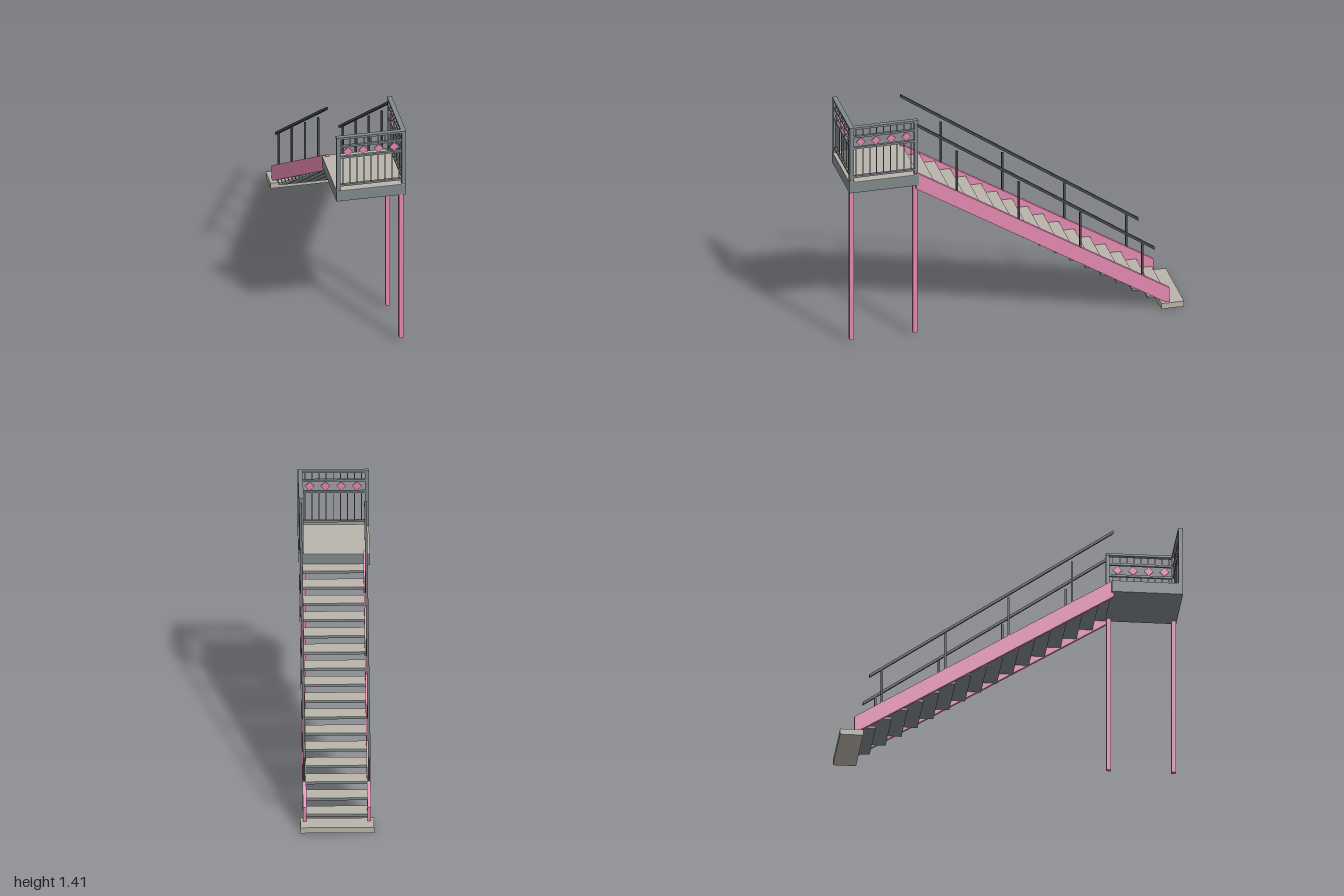
import * as THREE from 'three';

const mat = (name, color) => {
  const m = new THREE.MeshStandardMaterial({ color });
  m.name = name;
  return m;
};

export function createModel() {
  const model = new THREE.Group();
  model.name = 'staircase';
  const pink = mat('pink paint', 0xe58ab2);
  const grey = mat('grey steel', 0x80898c);
  const dark = mat('dark steel', 0x484c4d);
  const stone = mat('stone', 0xbab5ab);

  // box from its min and max corners
  const box = (parent, name, m, x0, x1, y0, y1, z0, z1) => {
    const mesh = new THREE.Mesh(new THREE.BoxGeometry(x1 - x0, y1 - y0, z1 - z0), m);
    mesh.position.set((x0 + x1) / 2, (y0 + y1) / 2, (z0 + z1) / 2);
    mesh.name = name;
    parent.add(mesh);
  };

  // plate with a (z, y) side outline, centred on x
  const sidePlate = (name, m, points, x, width) => {
    const shape = new THREE.Shape(points.map(([z, y]) => new THREE.Vector2(z, y)));
    const geo = new THREE.ExtrudeGeometry(shape, { depth: width, bevelEnabled: false });
    geo.translate(0, 0, -width / 2).rotateY(-Math.PI / 2);
    const mesh = new THREE.Mesh(geo, m);
    mesh.position.x = x;
    mesh.name = name;
    model.add(mesh);
  };

  // ground pad
  box(model, 'groundPad', stone, -0.215, 0.213, 0, 0.035, -1, -0.865);

  // platform with its stone deck
  box(model, 'platformFrame', grey, -0.215, 0.198, 0.987, 1.054, 0.585, 1);
  box(model, 'platformDeck', stone, -0.215, 0.198, 1.054, 1.057, 0.585, 1);

  // support legs
  for (const z of [0.982, 0.603])
    box(model, 'supportLeg', pink, 0.157, 0.182, 0.02, 0.987, z - 0.013, z + 0.013);

  // steel treads with stone tops
  for (let i = 0; i < 16; i++) {
    const z0 = -0.905 + 0.0928 * i;
    const z1 = Math.min(z0 + 0.116, 0.584);
    const y = 0.07 + 0.0611 * i;
    box(model, 'treadPan', grey, -0.18, 0.18, y - 0.008, y + 0.006, z0, z1);
    box(model, 'treadTop', stone, -0.18, 0.18, y + 0.006, y + 0.008, z0, z1);
  }

  // stringers, handrails and their posts on both sides
  const stringerTop = (z) => 0.125 + (z + 0.915) * 0.624;
  for (const side of [-1, 1]) {
    sidePlate('stringer', pink, [
      [0.6, 1.07], [0.6, 0.965], [-0.89, 0.036], [-0.915, 0.036], [-0.915, 0.125],
    ], side * 0.187, 0.021);
    sidePlate('handrail', dark, [
      [0.597, 1.388], [0.597, 1.37], [-0.828, 0.382], [-0.828, 0.4],
    ], side * 0.189, 0.015);
    for (let i = 0; i < 4; i++) {
      const z = 0.355 - 0.37 * i;
      box(model, 'handrailPost', dark, side * 0.189 - 0.006, side * 0.189 + 0.006,
        stringerTop(z) - 0.01, 1.177 - 0.246 * i, z - 0.006, z + 0.006);
    }
  }

  // railing panel running along local x, from 0 to length, centred on z = 0
  const railing = (name, length) => {
    const g = new THREE.Group();
    g.name = name;
    box(g, 'topRail', grey, 0, length, 1.398, 1.411, -0.014, 0.014);
    for (const y of [1.346, 1.274, 1.087])
      box(g, 'crossRail', grey, 0.01, length - 0.01, y - 0.006, y + 0.006, -0.008, 0.008);
    for (const x of [0.011, length - 0.011])
      box(g, 'railingPost', grey, x - 0.011, x + 0.011, 1.057, 1.4, -0.012, 0.012);
    for (let i = 1; i < 10; i++) {
      const x = (length / 10) * i;
      box(g, 'lowerBaluster', grey, x - 0.0025, x + 0.0025, 1.09, 1.27, -0.0025, 0.0025);
      box(g, 'upperBaluster', grey, x - 0.0025, x + 0.0025, 1.35, 1.4, -0.0025, 0.0025);
    }
    // diamond ornaments
    for (let i = 0; i < 4; i++) {
      const d = new THREE.Mesh(new THREE.BoxGeometry(0.039, 0.039, 0.009), pink);
      d.position.set(length / 2 + (i - 1.5) * length * 0.222, 1.309, 0);
      d.rotation.z = Math.PI / 4;
      d.name = 'diamond';
      g.add(d);
    }
    model.add(g);
    return g;
  };
  railing('frontRailing', 0.412).position.set(-0.214, 0, 0.985);
  const sideRailing = railing('sideRailing', 0.41);
  sideRailing.rotation.y = Math.PI / 2;
  sideRailing.position.set(0.184, 0, 0.998);

  return model;
}
